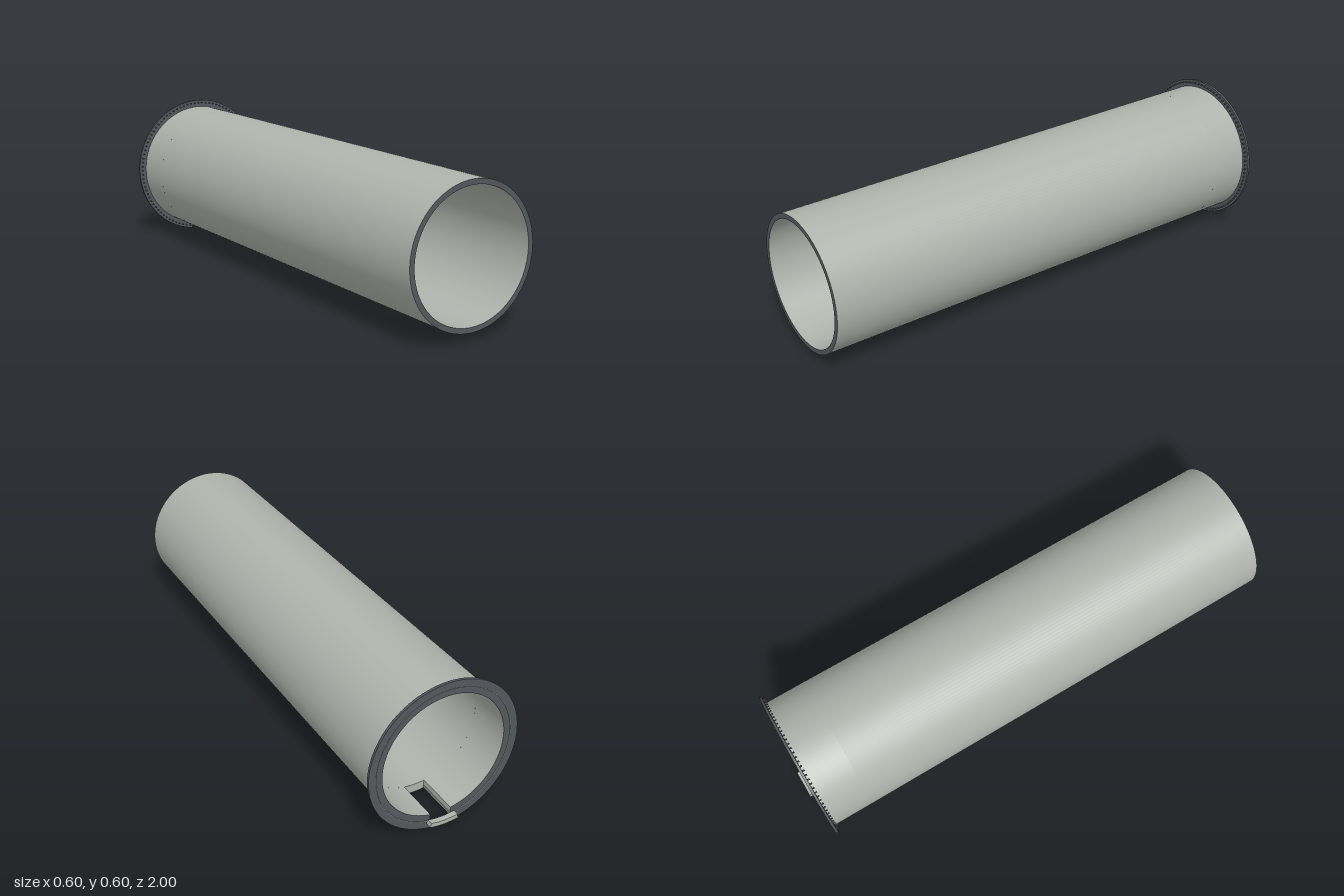
import * as THREE from 'three';

const CY = 0.3025;       // height of the tube axis
const BORE = 0.247;      // inner radius
const FRONT_R = 0.267;   // outer radius at the front
const BACK_R = 0.2725;   // outer radius at the back
const SLOT = 0.042;      // half width of the slot and notch
const SLOT_Z = -0.8;     // front end of the slot
const BACK_Z = -0.972;
const DOWN = -Math.PI / 2;

export function createModel() {
  const shell = new THREE.MeshStandardMaterial({ color: 0xb0b3ac, side: THREE.DoubleSide });
  shell.name = 'pale grey shell';
  const dark = new THREE.MeshStandardMaterial({ color: 0x54585d, side: THREE.DoubleSide });
  dark.name = 'dark grey metal';

  const model = new THREE.Group();
  model.name = 'flangedTube';
  const body = new THREE.Group();
  body.name = 'body';
  body.position.y = CY;
  model.add(body);

  const add = (name, geometry, material, z = 0) => {
    const mesh = new THREE.Mesh(geometry, material);
    mesh.name = name;
    mesh.position.z = z;
    body.add(mesh);
    return mesh;
  };

  // Extruded ring, open at the bottom with parallel notch sides
  const notchedRing = (r0, r1, depth) => {
    const a0 = Math.asin(SLOT / r0), a1 = Math.asin(SLOT / r1);
    const s = new THREE.Shape();
    s.absarc(0, 0, r1, DOWN + a1, DOWN + 2 * Math.PI - a1, false);
    s.absarc(0, 0, r0, DOWN + 2 * Math.PI - a0, DOWN + a0, true);
    s.closePath();
    return new THREE.ExtrudeGeometry(s, { depth, bevelEnabled: false, curveSegments: 128 });
  };

  // Curved block below the tube, between two x positions
  const arcBlock = (r0, r1, x0, x1, depth) => {
    const a = DOWN + Math.asin(x0 / r1), b = DOWN + Math.asin(x1 / r1);
    const s = new THREE.Shape();
    s.absarc(0, 0, r1, a, b, false);
    s.absarc(0, 0, r0, b, a, true);
    s.closePath();
    return new THREE.ExtrudeGeometry(s, { depth, bevelEnabled: false, curveSegments: 10 });
  };

  // Slightly tapered main tube and its bore
  const len = 1 - SLOT_Z;
  const mid = (1 + SLOT_Z) / 2;
  const skin = (front, back) =>
    new THREE.CylinderGeometry(front, back, len, 128, 1, true).rotateX(Math.PI / 2);
  add('tubeOuterWall', skin(FRONT_R, BACK_R), shell, mid);
  add('tubeBore', skin(BORE, BORE), shell, mid);
  add('frontRim', new THREE.RingGeometry(BORE, FRONT_R, 128), dark, 1);

  // Slotted rear section with a dark end face
  add('slottedTubeEnd', notchedRing(BORE, BACK_R, SLOT_Z - BACK_Z), [dark, shell], BACK_Z);
  const slotAngle = Math.asin(SLOT / BORE);
  add('slotEndWall',
    new THREE.RingGeometry(BORE, BACK_R, 12, 1, DOWN - slotAngle, 2 * slotAngle), shell, SLOT_Z);

  // Rear flange with a thin pale seam around the tube
  add('flange', notchedRing(BACK_R, 0.3025, 0.01), dark, -0.975);
  add('flangeSeam', notchedRing(0.272, 0.2738, 0.003), shell, -0.9757);

  // Ring of small bolts on the front of the flange
  const boltGeometry = new THREE.CylinderGeometry(0.003, 0.003, 0.01, 8).rotateX(Math.PI / 2);
  const count = 96;
  for (let i = 0; i < count; i++) {
    const a = (i / count) * Math.PI * 2;
    const x = Math.sin(a) * 0.291, y = Math.cos(a) * 0.291;
    if (y < 0 && Math.abs(x) < SLOT + 0.004) continue;
    add('bolt', boltGeometry, dark, -0.961).position.set(x, y, -0.961);
  }

  // Curved hatch frame around the slot
  const r0 = 0.269, r1 = 0.282, w = 0.058;
  add('hatchFrameFront', arcBlock(r0, r1, -w, w, 0.03), shell, SLOT_Z);
  add('hatchFrameBack', arcBlock(r0 - 0.005, r1, -w, w, 0.022), shell, -1);
  for (const [name, x0, x1] of [['hatchFrameLeft', SLOT, w], ['hatchFrameRight', -w, -SLOT]])
    add(name, arcBlock(r0, r1, x0, x1, SLOT_Z + 0.978), shell, -0.978);

  return model;
}
